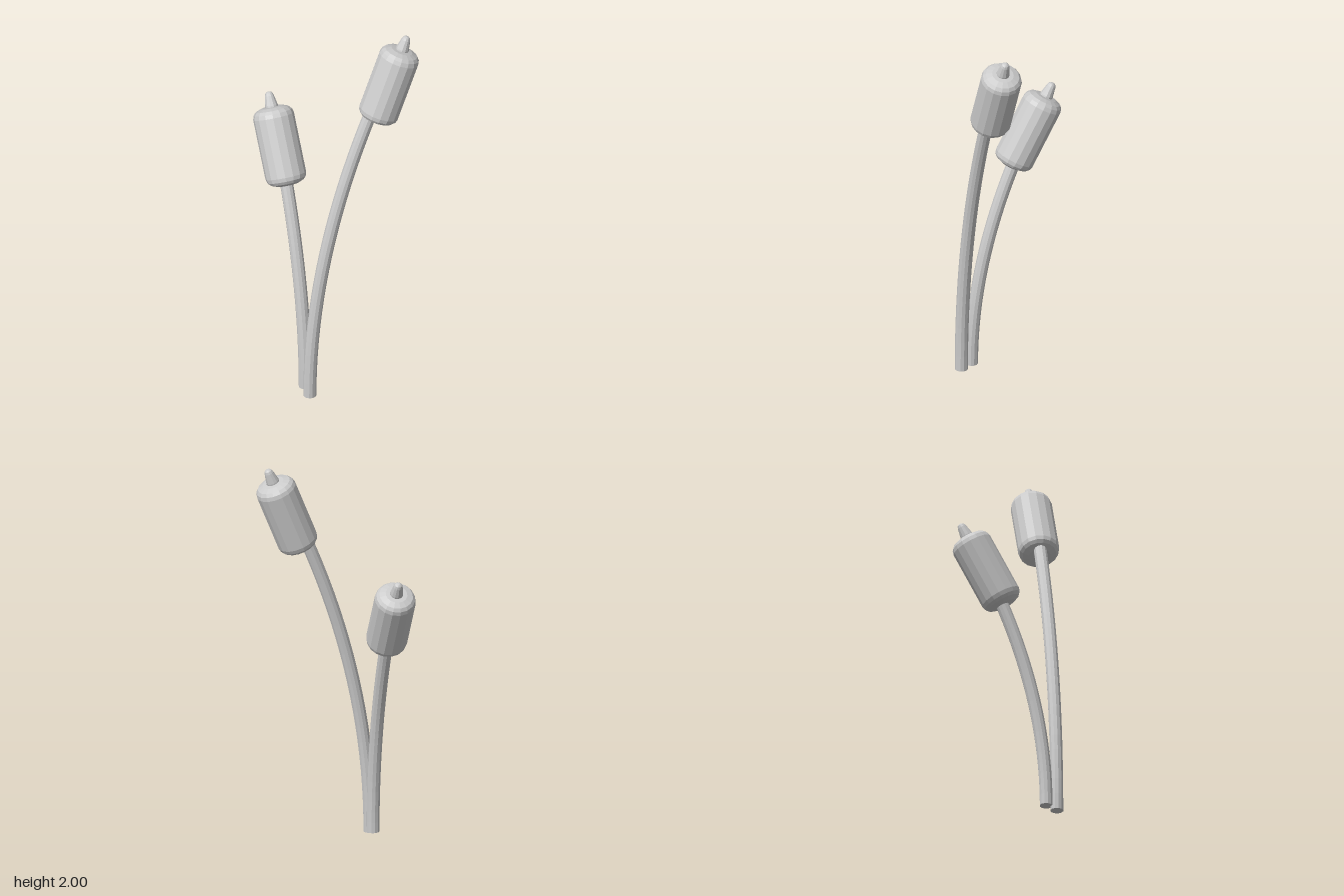
import * as THREE from 'three';

const UP = new THREE.Vector3(0, 1, 0);
const material = new THREE.MeshStandardMaterial({ color: 0xcccccc, flatShading: true });

// Profiles as [radius, height] along the head's own axis
const HEAD = [[0, 0], [0.055, 0.004], [0.085, 0.016], [0.098, 0.03], [0.1035, 0.05],
  [0.1035, 0.355], [0.098, 0.375], [0.085, 0.39], [0.055, 0.401], [0, 0.405]];
const TIP = [[0.034, 0.38], [0.033, 0.41], [0.023, 0.46], [0.018, 0.473], [0.01, 0.479], [0, 0.481]];

function lathe(name, profile, sides) {
  const points = profile.map(([r, y]) => new THREE.Vector2(r, y));
  const mesh = new THREE.Mesh(new THREE.LatheGeometry(points, sides), material);
  mesh.name = name;
  return mesh;
}

// One reed: a bent stem rising vertically from its base, with a tilted head
function makeReed(name, base, stemEnd, headBottom, headDirection) {
  const reed = new THREE.Group();
  reed.name = name;

  // Stem along a parabola, closed at the foot
  const bend = new THREE.Vector3(base.x, (base.y + stemEnd.y) / 2, base.z);
  const path = new THREE.QuadraticBezierCurve3(base, bend, stemEnd);
  const stem = new THREE.Mesh(new THREE.TubeGeometry(path, 20, 0.033, 12, false), material);
  stem.name = 'stem';
  const foot = new THREE.Mesh(new THREE.CircleGeometry(0.033, 12), material);
  foot.name = 'stemFoot';
  foot.position.copy(base);
  foot.rotation.x = Math.PI / 2;

  // Seed head with its pointed tip
  const head = new THREE.Group();
  head.name = 'head';
  head.add(lathe('seedHead', HEAD, 16), lathe('tip', TIP, 12));
  head.position.copy(headBottom);
  head.quaternion.setFromUnitVectors(UP, headDirection.normalize());

  reed.add(stem, foot, head);
  return reed;
}

export function createModel() {
  const v = (x, y, z) => new THREE.Vector3(x, y, z);
  const model = new THREE.Group();
  model.name = 'reeds';
  model.add(
    makeReed('tallReed', v(-0.245, 0, 0.215), v(0.088, 1.6, 0.215),
      v(0.112, 1.555, 0.222), v(0.37, 0.93, -0.025)),
    makeReed('shortReed', v(-0.245, 0.02, 0.16), v(-0.245, 1.12, -0.076),
      v(-0.245, 1.095, -0.051), v(0, 0.875, -0.485)),
  );
  return model;
}
